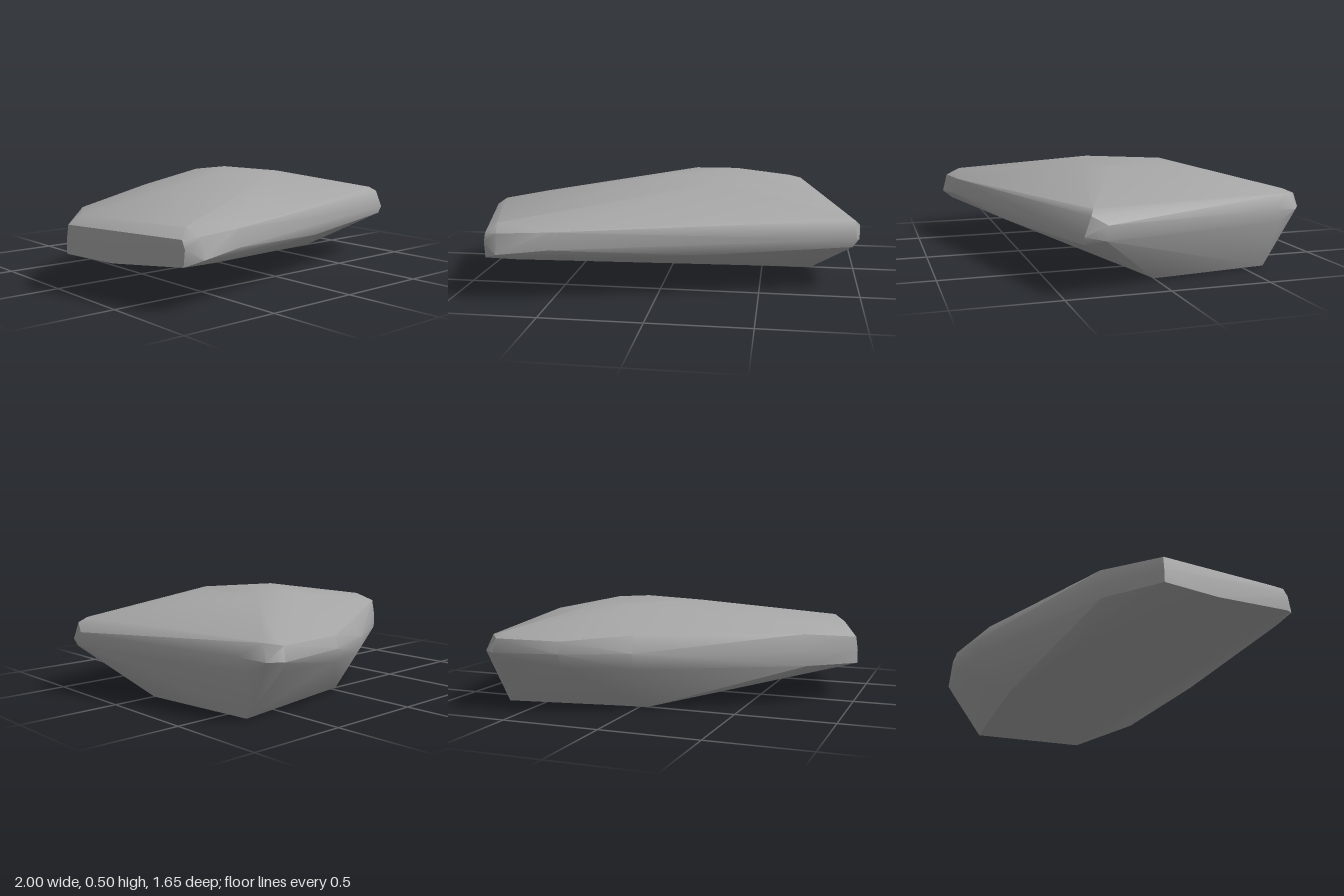
import * as THREE from 'three';
import { toCreasedNormals } from 'three/addons/utils/BufferGeometryUtils.js';
import { ConvexGeometry } from 'three/addons/geometries/ConvexGeometry.js';

// Corners of the slab, listed in levels from the ground up as [x, y, z].
const base = [
  [0.77, 0, 0.0], [0.7, 0, -0.62], [-0.04, 0, -0.5],
];
const lowerRim = [
  [-1, 0.19, 0.1], [-0.93, 0.18, 0.38], [-0.82, 0.21, 0.77], [-0.66, 0.21, 0.78],
  [0.2, 0.21, 0.59], [0.96, 0.23, 0.4], [0.76, 0.235, -0.67], [0.65, 0.24, -0.8],
  [0.3, 0.23, -0.79], [-0.03, 0.22, -0.66], [-0.78, 0.2, -0.15],
];
const middleRim = [
  [-1, 0.26, 0.1], [-0.87, 0.28, 0.58], [-0.82, 0.29, 0.78], [-0.75, 0.24, 0.825],
  [-0.5, 0.26, 0.78], [0.98, 0.27, 0.405], [1, 0.25, 0.31], [1, 0.32, 0.3],
  [0.77, 0.3, -0.64], [0.73, 0.29, -0.78], [0.66, 0.29, -0.83], [0.3, 0.3, -0.815],
  [-0.03, 0.3, -0.675], [-0.78, 0.28, -0.15],
];
const upperRim = [
  [-0.99, 0.33, 0.1], [-0.93, 0.37, 0.12], [-0.82, 0.33, 0.76], [-0.75, 0.34, 0.8],
  [-0.77, 0.375, 0.72], [-0.5, 0.345, 0.765], [0.97, 0.36, 0.37], [0.93, 0.385, 0.35],
  [0.71, 0.37, -0.74], [0.65, 0.36, -0.81], [0.64, 0.385, -0.75], [0.3, 0.36, -0.795],
  [-0.02, 0.385, -0.63], [-0.76, 0.365, -0.15],
];
const crown = [
  [0.39, 0.5, 0.1], [0.25, 0.5, 0.22], [-0.12, 0.5, 0.08],
  [0.1, 0.5, -0.28], [0.33, 0.5, -0.29],
];

export function createModel() {
  const stone = new THREE.MeshStandardMaterial({ color: 0xa6a6a6 });
  stone.name = 'stone grey';

  // Convex boulder: worn rims shade smoothly, the underside stays sharp.
  const corners = [base, lowerRim, middleRim, upperRim, crown]
    .flat()
    .map((p) => new THREE.Vector3(...p));
  const slab = new THREE.Mesh(toCreasedNormals(new ConvexGeometry(corners), 0.65), stone);
  slab.name = 'rockSlab';

  const group = new THREE.Group();
  group.name = 'rock';
  group.add(slab);
  return group;
}
